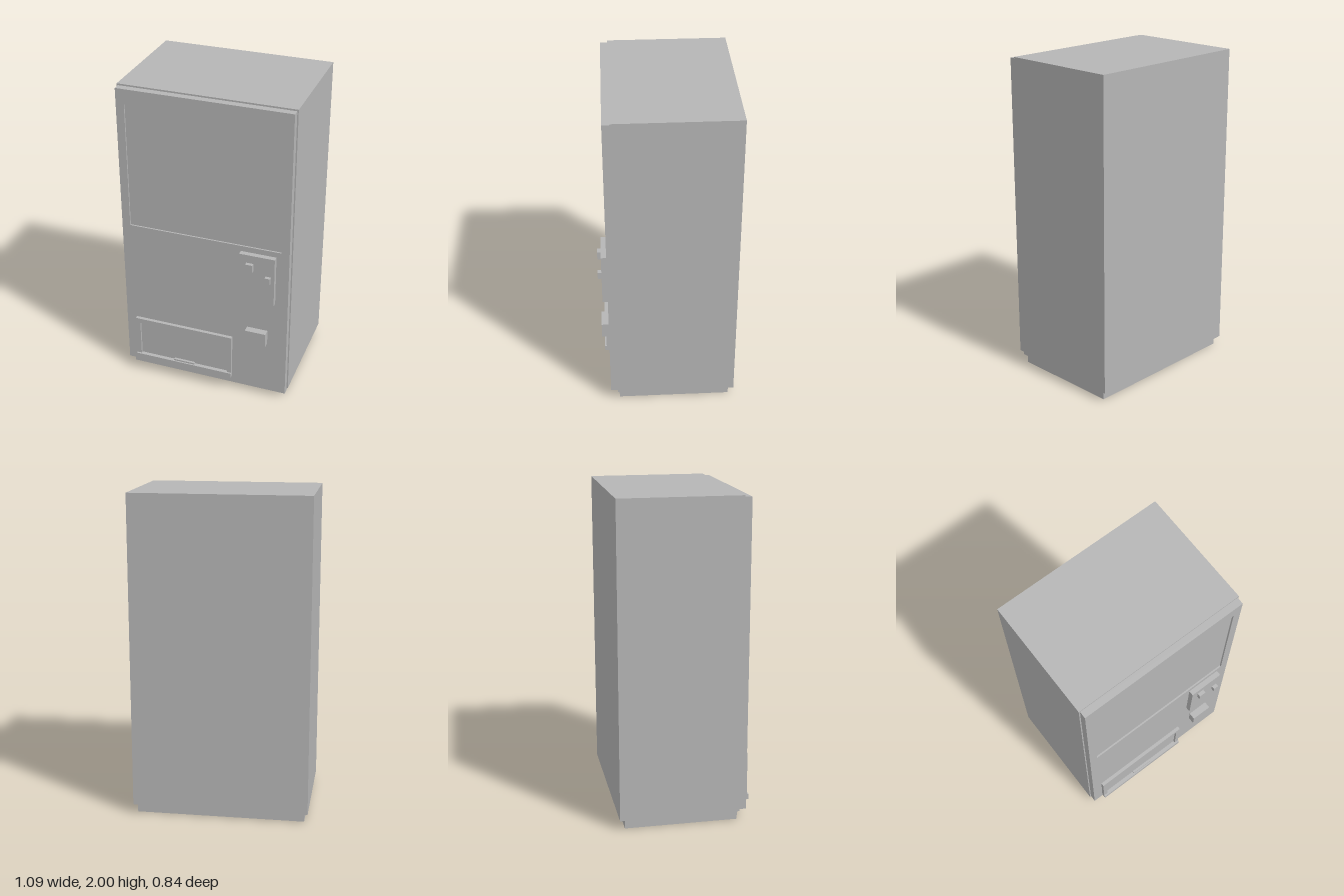
import * as THREE from 'three';

export function createModel() {
  const model = new THREE.Group();
  model.name = 'vendingMachine';
  const grey = new THREE.MeshStandardMaterial({ color: 0xb6b6b6 });
  grey.name = 'grey';

  const add = (name, geometry, parent = model) => {
    const mesh = new THREE.Mesh(geometry, grey);
    mesh.name = name;
    parent.add(mesh);
    return mesh;
  };

  // Box given by its limits on each axis
  const box = (name, [x0, x1], [y0, y1], [z0, z1], parent) => {
    const mesh = add(name, new THREE.BoxGeometry(x1 - x0, y1 - y0, z1 - z0), parent);
    mesh.position.set((x0 + x1) / 2, (y0 + y1) / 2, (z0 + z1) / 2);
    return mesh;
  };

  // Rectangular plate with a rectangular opening
  const trace = (path, [x0, x1], [y0, y1]) =>
    path.moveTo(x0, y0).lineTo(x1, y0).lineTo(x1, y1).lineTo(x0, y1).closePath();
  const frame = (name, xs, ys, [z0, z1], holeXs, holeYs, parent) => {
    const shape = new THREE.Shape();
    trace(shape, xs, ys);
    const hole = new THREE.Path();
    trace(hole, holeXs, holeYs);
    shape.holes.push(hole);
    const geometry = new THREE.ExtrudeGeometry(shape, { depth: z1 - z0, bevelEnabled: false });
    geometry.translate(0, 0, z0);
    return add(name, geometry, parent);
  };

  // Cabinet
  box('cabinet', [-0.545, 0.545], [0.06, 2], [-0.42, 0.32]);

  // Hollow plinth, open underneath
  const plinth = new THREE.Group();
  plinth.name = 'plinth';
  model.add(plinth);
  const t = 0.004;
  box('plinthFront', [-0.523, 0.523], [0, 0.06], [0.31 - t, 0.31], plinth);
  box('plinthBack', [-0.523, 0.523], [0, 0.06], [-0.388, -0.388 + t], plinth);
  for (const side of [-1, 1]) {
    const wall = box('plinthSide', [0.523 - t, 0.523], [0, 0.06], [-0.388 + t, 0.31 - t], plinth);
    wall.position.x *= side;
  }

  // Door with a shallow display window
  const windowX = [-0.485, 0.485], windowY = [1.09, 1.895];
  frame('door', [-0.537, 0.537], [0.07, 1.99], [0.32, 0.364], windowX, windowY);
  box('displayWindow', windowX, windowY, [0.32, 0.354]);

  // Delivery hatch with recessed flap, sill and pull
  const hatch = new THREE.Group();
  hatch.name = 'deliveryHatch';
  model.add(hatch);
  const flapX = [-0.44, 0.155], flapY = [0.135, 0.375];
  frame('hatchFrame', [-0.47, 0.183], [0.1, 0.408], [0.364, 0.386], flapX, flapY, hatch);
  box('hatchFlap', flapX, flapY, [0.364, 0.372], hatch);
  box('hatchSill', [-0.47, 0.183], [0.1, 0.135], [0.386, 0.397], hatch);
  box('hatchPull', [-0.21, -0.07], [0.135, 0.145], [0.372, 0.388], hatch);

  // Payment panel with its two controls
  box('paymentPanel', [0.235, 0.457], [0.725, 1.055], [0.364, 0.397]);
  box('noteSlot', [0.28, 0.325], [0.95, 1.002], [0.397, 0.42]);
  box('coinSlot', [0.402, 0.435], [0.887, 0.93], [0.397, 0.42]);

  // Coin return
  box('coinReturn', [0.28, 0.413], [0.415, 0.51], [0.364, 0.409]);

  return model;
}
